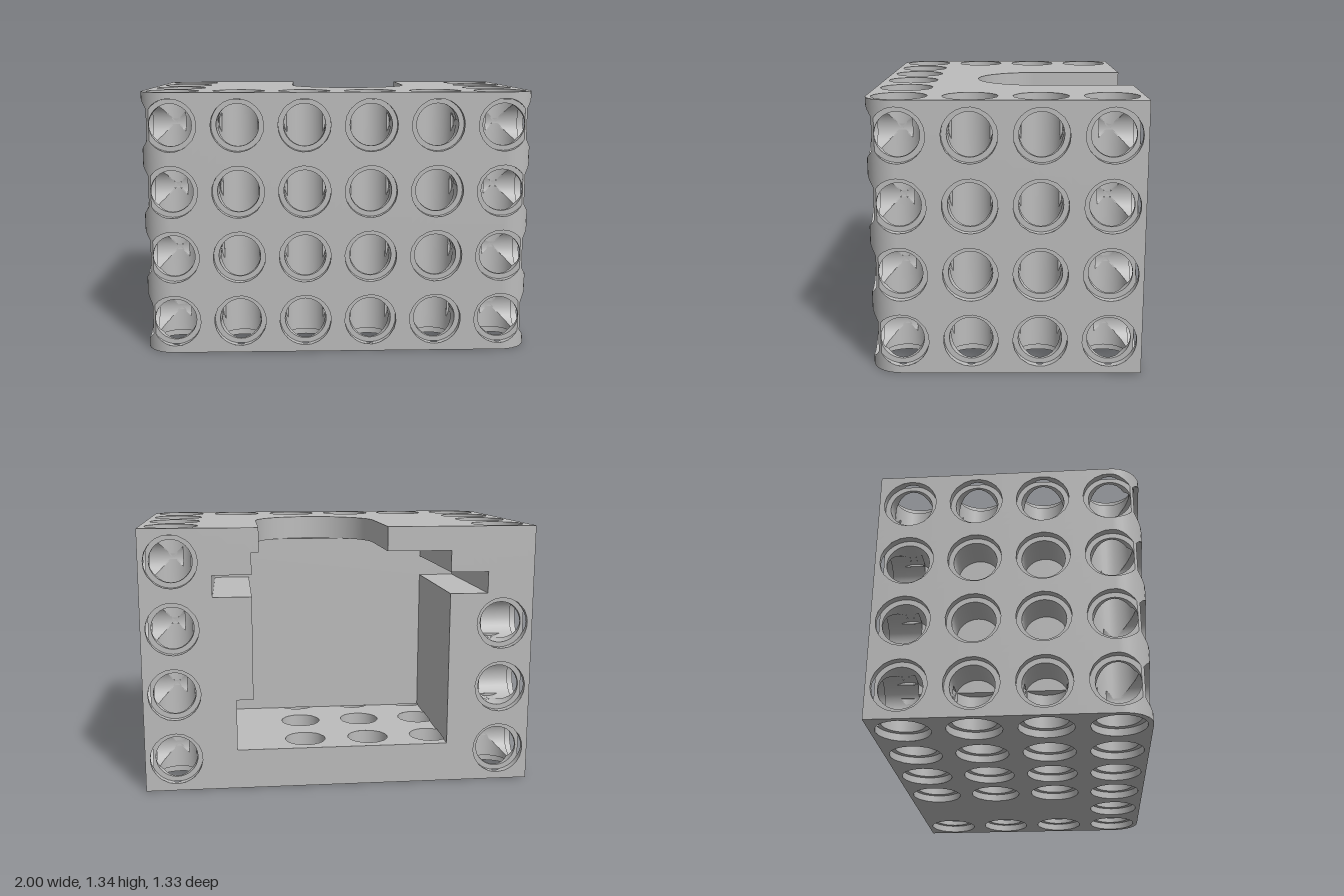
import * as THREE from 'three';

const V = (x, y, z) => new THREE.Vector3(x, y, z);
const H = 1.343, D = 0.663, R = 0.15;             // height, half depth, front corner radius
const PITCH = 0.3367, BORE = 0.107, RIM = 0.133;  // hole grid and radii
const RIM_DEPTH = 0.037, BLIND = 0.21, BACK = 0.1; // recess, blind hole depth, cavity end wall
const SLOT_X = 0.085, SLOT_Z = -0.17, SLOT_R = 0.323, CEIL = 1.22;

// Signed distance to the block outline seen from above (front corners rounded)
function outline(p) {
  const qx = Math.abs(p.x) - (1 - R), qz = p.z - (D - R);
  return (qx > 0 && qz > 0 ? Math.hypot(qx, qz) : Math.max(qx, qz)) - R - 1e-5;
}

// Split a convex polygon by f into [part with f < 0, part with f > 0]
function split(poly, f) {
  const d = poly.map(f);
  if (d.every(v => v > -1e-6)) return [null, poly];
  if (d.every(v => v < 1e-6)) return [poly, null];
  const a = [], b = [];
  poly.forEach((p, i) => {
    const j = (i + 1) % poly.length;
    (d[i] < 0 ? a : b).push(p);
    if ((d[i] < 0) !== (d[j] < 0)) {
      const q = p.clone().lerp(poly[j], d[i] / (d[i] - d[j]));
      a.push(q); b.push(q);
    }
  });
  return [a, b];
}

// Remove a convex void from a polygon
function subtract(poly, cut) {
  if (!cut.box.intersectsBox(new THREE.Box3().setFromPoints(poly))) return [poly];
  const out = [];
  let rest = poly;
  for (const f of cut.fs) {
    const [inside, outside] = split(rest, f);
    if (!inside) return [poly];
    if (outside) out.push(outside);
    rest = inside;
  }
  return out;
}

// Voids: straight cylinders, boxes and the rounded slot
function cylinderVoid(c, d, t0, t1, r) {
  const along = p => (p.x - c.x) * d.x + (p.y - c.y) * d.y + (p.z - c.z) * d.z;
  const radial = p => Math.sqrt(Math.max(0, p.distanceToSquared(c) - along(p) ** 2)) - r;
  const ends = [t0, t1].map(t => c.clone().addScaledVector(d, t));
  return {
    fs: [radial, p => t0 - along(p), p => along(p) - t1],
    box: new THREE.Box3().setFromPoints(ends).expandByScalar(r)
  };
}
function boxVoid(x0, x1, y0, y1) {
  return {
    fs: [p => x0 - p.x, p => p.x - x1, p => y0 - p.y, p => p.y - y1, p => p.z - BACK],
    box: new THREE.Box3(V(x0, y0, -1), V(x1, y1, BACK))
  };
}
const slotVoid = {
  fs: [p => (p.z < SLOT_Z ? Math.abs(p.x - SLOT_X) : Math.hypot(p.x - SLOT_X, p.z - SLOT_Z)) - SLOT_R,
    p => CEIL - 0.001 - p.y],
  box: new THREE.Box3(V(SLOT_X - SLOT_R, CEIL - 0.001, -1), V(SLOT_X + SLOT_R, 2, SLOT_Z + SLOT_R))
};

export function createModel() {
  const group = new THREE.Group();
  const grey = new THREE.MeshStandardMaterial({ color: 0xbcbcbc });
  grey.name = 'grey';
  const parts = {}, holes = [];
  const voids = [slotVoid, boxVoid(-0.565, 0.445, 0.205, CEIL), boxVoid(-0.76, 0.64, 1.0, 1.11),
    boxVoid(0.4, 0.53, 0.205, 0.47)];

  // Grid patch at(u, v), trimmed by every void that is not its own
  function patch(name, at, nu, nv, normal, own = []) {
    const part = parts[name] ??= { pos: [], nor: [] };
    const pts = [], box = new THREE.Box3();
    for (let i = 0; i <= nu; i++) for (let j = 0; j <= nv; j++) pts.push(at(i / nu, j / nv));
    box.setFromPoints(pts);
    const cuts = voids.filter(v => !own.includes(v) && v.box.intersectsBox(box));
    const add = tri => {
      const kept = split(tri, outline)[0];
      let polys = kept ? [kept] : [];
      for (const cut of cuts) polys = polys.flatMap(p => subtract(p, cut));
      for (const p of polys) for (let k = 1; k + 1 < p.length; k++) {
        const [a, b, c] = [p[0], p[k], p[k + 1]];
        const face = b.clone().sub(a).cross(c.clone().sub(a));
        if (face.length() < 1e-10) continue;
        const mid = a.clone().add(b).add(c).divideScalar(3);
        const order = face.dot(normal(mid)) > 0 ? [a, b, c] : [a, c, b];
        for (const q of order) { part.pos.push(q.x, q.y, q.z); part.nor.push(...normal(q).toArray()); }
      }
    };
    for (let i = 0; i < nu; i++) for (let j = 0; j < nv; j++) {
      const k = i * (nv + 1) + j, m = k + nv + 1;
      add([pts[k], pts[m], pts[m + 1]]);
      add([pts[k], pts[m + 1], pts[k + 1]]);
    }
  }
  // Flat rectangle from a corner and two edge vectors
  function flat(name, o, e, f, n, cell = 0.04) {
    patch(name, (u, v) => o.clone().addScaledVector(e, u).addScaledVector(f, v),
      Math.ceil(e.length() / cell), Math.ceil(f.length() / cell), () => n);
  }

  // Hole layout: c on the surface, d pointing inward
  function hole(name, c, d, through = false) {
    const depth = through ? H : BLIND;
    const rims = [[c, d]];
    if (through) rims.push([c.clone().addScaledVector(d, H), d.clone().negate()]);
    const own = [cylinderVoid(c, d, -0.01, depth + (through ? 0.01 : 0), BORE),
      ...rims.map(([o, n]) => cylinderVoid(o, n, -0.01, RIM_DEPTH, RIM))];
    voids.push(...own);
    holes.push({ name, c, d, depth, through, rims, own });
  }
  const X = [0, 1, 2, 3, 4, 5].map(i => (i - 2.5) * PITCH);
  const Y = [0, 1, 2, 3].map(i => (i + 0.5) * PITCH);
  const Z = [0, 1, 2, 3].map(i => (i - 1.5) * PITCH);
  Y.forEach((y, j) => {
    X.forEach(x => hole('frontHoles', V(x, y, D), V(0, 0, -1)));
    Z.forEach(z => {
      hole('leftHoles', V(1, y, z), V(-1, 0, 0));
      hole('rightHoles', V(-1, y, z), V(1, 0, 0));
    });
    hole('backHoles', V(X[5], y, -D), V(0, 0, 1));
    if (j < 3) hole('backHoles', V(X[0], y, -D), V(0, 0, 1));
  });
  X.forEach((x, i) => Z.forEach((z, k) => {
    if (k === 3 || i === 5) hole('verticalHoles', V(x, 0, z), V(0, 1, 0), true);
    else {
      if (i !== 4) hole('bottomHoles', V(x, 0, z), V(0, 1, 0));
      if (i === 0) hole('topHoles', V(x, H, z), V(0, -1, 0));
    }
  }));

  // Outer shell
  const up = V(0, H, 0), F = D - R;
  flat('frontWall', V(-1 + R, 0, D), V(2 - 2 * R, 0, 0), up, V(0, 0, 1));
  flat('backWall', V(-1, 0, -D), V(2, 0, 0), up, V(0, 0, -1));
  flat('top', V(-1, H, -D), V(2, 0, 0), V(0, 0, 2 * D), V(0, 1, 0));
  flat('bottom', V(-1, 0, -D), V(2, 0, 0), V(0, 0, 2 * D), V(0, -1, 0));
  for (const s of [1, -1]) {
    flat(s > 0 ? 'leftWall' : 'rightWall', V(s, 0, -D), V(0, 0, D + F), up, V(s, 0, 0));
    patch('roundedCorners', (u, v) => V(s * (1 - R + R * Math.sin(u * Math.PI / 2)), v * H,
      F + R * Math.cos(u * Math.PI / 2)), 10, 36,
    p => V(p.x - s * (1 - R), 0, p.z - F).normalize());
  }

  // Hole walls, recessed rims and blind ends
  for (const { name, c, d, depth, through, rims, own } of holes) {
    const a = V(d.y, d.z, d.x), b = d.clone().cross(a);
    const point = (o, n, t, r, u) => o.clone().addScaledVector(n, t)
      .addScaledVector(a, r * Math.cos(u * 2 * Math.PI)).addScaledVector(b, r * Math.sin(u * 2 * Math.PI));
    const inward = p => {
      const q = c.clone().sub(p);
      return q.addScaledVector(d, -q.dot(d)).normalize();
    };
    const end = depth - (through ? RIM_DEPTH : 0), length = end - RIM_DEPTH;
    patch(name, (u, v) => point(c, d, RIM_DEPTH + v * length, BORE, u), 32, Math.ceil(length / 0.035), inward, own);
    for (const [o, n] of rims) {
      const out = n.clone().negate();
      patch(name, (u, v) => point(o, n, v * RIM_DEPTH, RIM, u), 32, 2, inward, own);
      patch(name, (u, v) => point(o, n, RIM_DEPTH, BORE + v * (RIM - BORE), u), 32, 1, () => out, own);
    }
    const out = d.clone().negate();
    if (!through) patch(name, (u, v) => point(c, d, depth, v * BORE, u), 32, 3, () => out, own);
  }

  // Cavity walls swept from the profile of the rear opening
  const profile = [[-0.565, 0.205], [0.53, 0.205], [0.53, 0.47], [0.445, 0.47], [0.445, 1], [0.64, 1],
    [0.64, 1.11], [0.445, 1.11], [0.445, CEIL], [-0.565, CEIL], [-0.565, 1.11], [-0.76, 1.11],
    [-0.76, 1], [-0.565, 1]];
  profile.forEach(([x, y], i) => {
    const [x1, y1] = profile[(i + 1) % profile.length];
    flat('cavityWalls', V(x, y, -D), V(x1 - x, y1 - y, 0), V(0, 0, D + BACK),
      V(y - y1, x1 - x, 0).normalize());
  });

  // Slot wall: two straight runs joined by a half round
  const slotNormal = p => V(SLOT_X - p.x, 0, p.z > SLOT_Z ? SLOT_Z - p.z : 0).normalize();
  patch('slotWall', (u, v) => V(SLOT_X + SLOT_R * Math.cos(u * Math.PI), CEIL + v * (H - CEIL),
    SLOT_Z + SLOT_R * Math.sin(u * Math.PI)), 40, 1, slotNormal, [slotVoid]);
  for (const s of [1, -1]) patch('slotWall', (u, v) => V(SLOT_X + s * SLOT_R, CEIL + v * (H - CEIL),
    -D + u * (D + SLOT_Z)), 1, 1, () => V(-s, 0, 0), [slotVoid]);

  for (const [name, { pos, nor }] of Object.entries(parts)) {
    const g = new THREE.BufferGeometry();
    g.setAttribute('position', new THREE.Float32BufferAttribute(pos, 3));
    g.setAttribute('normal', new THREE.Float32BufferAttribute(nor, 3));
    const mesh = new THREE.Mesh(g, grey);
    mesh.name = name;
    group.add(mesh);
  }

  // Crescent ledge where the slot runs past the cavity
  const angle = Math.asin((BACK - SLOT_Z) / SLOT_R);
  const crescent = new THREE.Shape().absarc(SLOT_X, -SLOT_Z, SLOT_R, -angle, angle - Math.PI, true);
  const ledge = new THREE.Mesh(new THREE.ShapeGeometry(crescent, 24).rotateX(-Math.PI / 2), grey);
  ledge.position.y = CEIL;
  ledge.name = 'slotLedge';
  group.add(ledge);

  // Cavity end wall
  const wall = new THREE.Shape(profile.map(([x, y]) => new THREE.Vector2(x, y)));
  const endWall = new THREE.Mesh(new THREE.ShapeGeometry(wall).rotateY(Math.PI), grey);
  endWall.scale.x = 1;
  endWall.geometry.dispose();
  const mirrored = new THREE.Shape(profile.map(([x, y]) => new THREE.Vector2(-x, y)));
  endWall.geometry = new THREE.ShapeGeometry(mirrored).rotateY(Math.PI);
  endWall.position.z = BACK;
  endWall.name = 'cavityEndWall';
  group.add(endWall);
  return group;
}
